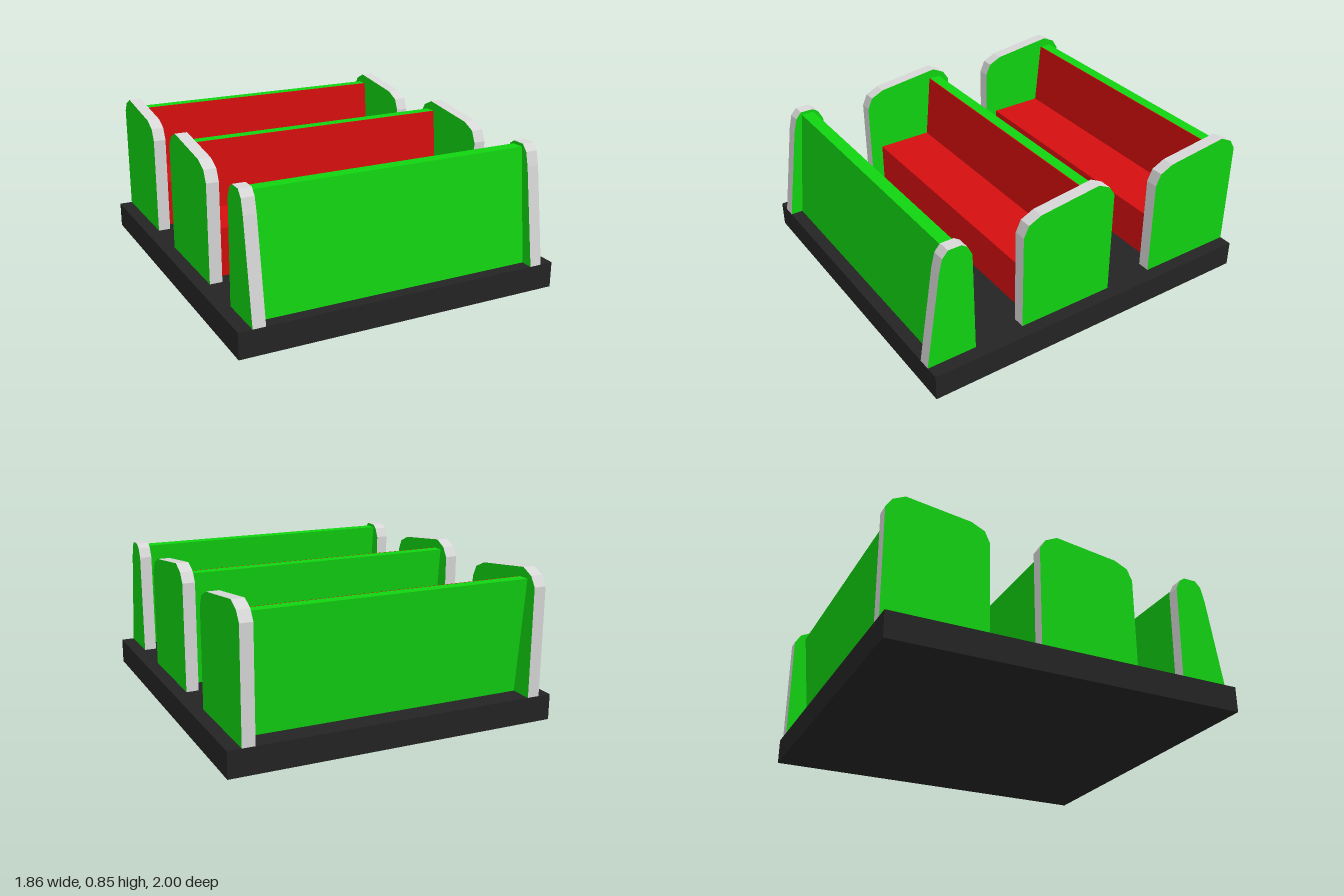
import * as THREE from 'three';

const mat = (name, color) => {
  const m = new THREE.MeshStandardMaterial({ color });
  m.name = name;
  return m;
};

export function createModel() {
  const black = mat('blackFloor', 0x242424);
  const green = mat('greenPanel', 0x11d411);
  const red = mat('redUpholstery', 0xd40e0e);
  const grey = mat('lightGreyTrim', 0xd8d8d8);

  const FLOOR = 0.145, TOP = 0.79, INNER = 0.785, END_T = 0.07;
  const model = new THREE.Group();
  model.name = 'pewRows';

  // Extrudes a (z, y) side profile across the width, centred on x
  function slab(name, points, width, x, material) {
    const shape = new THREE.Shape(points.map(([z, y]) => new THREE.Vector2(z, y)));
    const geo = new THREE.ExtrudeGeometry(shape, { depth: width, bevelEnabled: false });
    geo.translate(0, 0, -width / 2).rotateY(-Math.PI / 2);
    const mesh = new THREE.Mesh(geo, material);
    mesh.name = name;
    mesh.position.x = x;
    return mesh;
  }

  // Mirrored end boards: green faces, grey edge
  function addEnds(group, profile) {
    for (const [side, s] of [['left', 1], ['right', -1]])
      group.add(slab(side + 'EndBoard', profile, END_T, s * (INNER + END_T / 2), [green, grey]));
  }

  // Floor platform
  const floor = new THREE.Mesh(new THREE.BoxGeometry(1.86, FLOOR, 2), black);
  floor.name = 'floorPlatform';
  floor.position.y = FLOOR / 2;
  model.add(floor);

  // Two pews with seat and leaning backrest
  const pewEnd = [
    [0.43, FLOOR], [0.43, 0.7], [0.4, 0.765], [0.325, 0.8],
    [-0.035, 0.845], [-0.105, 0.81], [-0.14, 0.755], [-0.14, FLOOR],
  ];
  const backrest = [[0.05, FLOOR], [-0.01, TOP], [-0.075, TOP], [-0.012, FLOOR]];
  const seat = [
    [0.355, FLOOR], [0.355, 0.415], [0.031, 0.415],
    [-0.005, TOP], [-0.01, TOP], [0.05, FLOOR],
  ];
  [['middlePew', 0], ['backPew', -0.86]].forEach(([name, z]) => {
    const pew = new THREE.Group();
    pew.name = name;
    pew.position.z = z;
    addEnds(pew, pewEnd);
    pew.add(slab('backrest', backrest, INNER * 2, 0, green));
    pew.add(slab('seatAndLining', seat, INNER * 2, 0, red));
    model.add(pew);
  });

  // Front screen with sloping panel
  const screen = new THREE.Group();
  screen.name = 'frontScreen';
  addEnds(screen, [
    [1, FLOOR], [0.915, 0.69], [0.895, 0.77], [0.862, 0.807], [0.787, 0.807],
    [0.755, 0.785], [0.728, 0.73], [0.718, FLOOR],
  ]);
  screen.add(slab('screenPanel',
    [[0.93, FLOOR], [0.856, TOP], [0.785, TOP], [0.859, FLOOR]], INNER * 2, 0, green));
  model.add(screen);

  return model;
}
